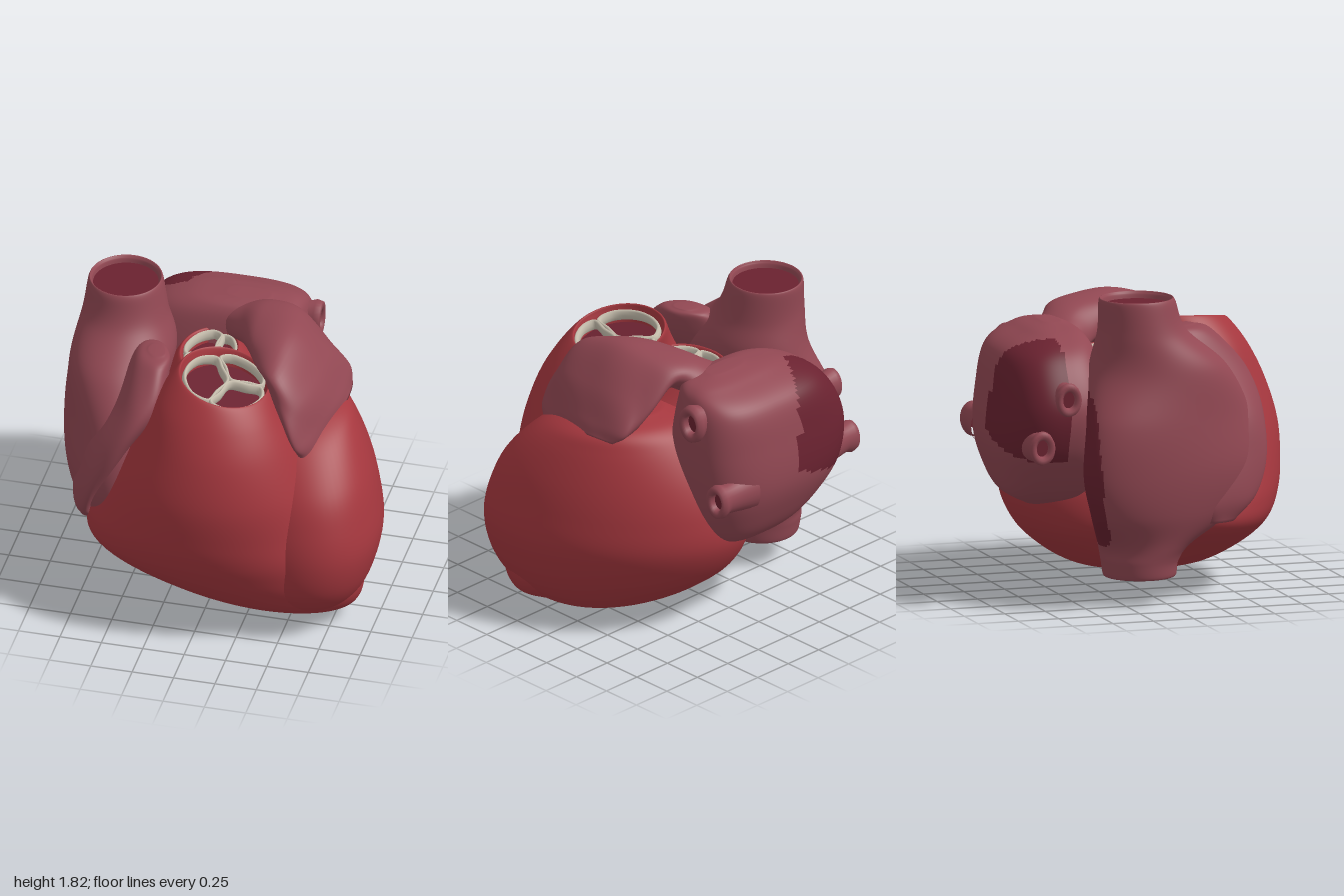
import * as THREE from 'three';

const mat = (name, color, side = THREE.FrontSide) => {
  const m = new THREE.MeshStandardMaterial({ color, side });
  m.name = name;
  return m;
};
const V = (a) => new THREE.Vector3(...a);

// Horizontal section from its extents; k shears it, tx and tz tilt it.
function slab(y, x0, x1, z0, z1, { k = 0, tx = 0, tz = 0, e = 1 } = {}) {
  const rz = (z1 - z0) / 2, half = (x1 - x0) / 2, s = k * rz;
  const rx = Math.sqrt(Math.max(half * half - s * s, 1e-4));
  return { c: [(x0 + x1) / 2, y, (z0 + z1) / 2], u: [rx, tx * rx, 0], v: [s, tz * rz, rz], e };
}

// Smooth skin through elliptical sections, with an optional second-colour patch.
function loft(sections, { around = 72, steps = 8, capStart = true, capEnd = true, wobble = 0, patch = null } = {}) {
  const curve = (key) => new THREE.CatmullRomCurve3(sections.map((s) => V(s[key])), false, 'catmullrom', 0.5);
  const [C, U, W] = ['c', 'u', 'v'].map(curve);
  const e = sections[0].e ?? 1, n = (sections.length - 1) * steps, pos = [], tris = [];
  const pow = (a) => Math.sign(a) * Math.abs(a) ** e;
  for (let i = 0; i <= n; i++) {
    const t = i / n, c = C.getPoint(t), u = U.getPoint(t), v = W.getPoint(t);
    for (let j = 0; j < around; j++) {
      const a = (j / around) * Math.PI * 2;
      const r = 1 + wobble * Math.sin(3 * a + 7 * t) * Math.sin(11 * t + 2 * a);
      const p = c.clone().addScaledVector(u, r * pow(Math.cos(a))).addScaledVector(v, r * pow(Math.sin(a)));
      pos.push(p.x, p.y, p.z);
    }
  }
  for (let i = 0; i < n; i++) for (let j = 0; j < around; j++) {
    const a = i * around + j, b = i * around + ((j + 1) % around);
    tris.push([a, b, a + around], [b, b + around, a + around]);
  }
  const cap = (ring, t, flip) => {
    const m = pos.length / 3;
    pos.push(...C.getPoint(t).toArray());
    for (let j = 0; j < around; j++) {
      const a = ring * around + j, b = ring * around + ((j + 1) % around);
      tris.push(flip ? [m, b, a] : [m, a, b]);
    }
  };
  if (capStart) cap(0, 0, true);
  if (capEnd) cap(n, 1, false);
  const g = new THREE.BufferGeometry();
  g.setAttribute('position', new THREE.Float32BufferAttribute(pos, 3));
  if (patch) {
    const mid = (t, k) => (pos[t[0] * 3 + k] + pos[t[1] * 3 + k] + pos[t[2] * 3 + k]) / 3;
    const inside = tris.map((_, i) => tris[i - (i % 2)]).map((t) => patch(mid(t, 0), mid(t, 1), mid(t, 2)));
    const plain = tris.filter((_, i) => !inside[i]), dark = tris.filter((_, i) => inside[i]);
    g.setIndex([...plain, ...dark].flat());
    g.addGroup(0, plain.length * 3, 0);
    g.addGroup(plain.length * 3, dark.length * 3, 1);
  } else g.setIndex(tris.flat());
  g.computeVertexNormals();
  return g;
}

export function createModel() {
  const model = new THREE.Group();
  const muscle = mat('ventricle red', 0xa5373e);
  const atrial = mat('atrium mauve', 0x924853);
  const dark = mat('inner dark red', 0x6a2230, THREE.DoubleSide);
  const cream = mat('valve cream', 0xc9c1b0);
  const add = (name, geo, material, parent = model) => {
    const m = new THREE.Mesh(geo, material);
    m.name = name;
    parent.add(m);
    return m;
  };

  // Left ventricle: egg with its apex at the bottom
  add('leftVentricle', loft([
    [1.3, 0.2, 0.52, -0.2, 0.08], [1.25, 0, 0.72, -0.36, 0.27], [1.15, -0.08, 0.82, -0.47, 0.45],
    [0.95, -0.14, 0.92, -0.6, 0.63], [0.75, -0.18, 0.975, -0.68, 0.72], [0.55, -0.2, 1.0, -0.7, 0.76],
    [0.35, -0.16, 0.96, -0.6, 0.74], [0.2, -0.04, 0.89, -0.43, 0.65], [0.1, 0.1, 0.8, -0.26, 0.52],
    [0.04, 0.28, 0.71, -0.1, 0.4], [0.005, 0.46, 0.6, 0.04, 0.24],
  ].map((s) => slab(...s, { k: 0.3 }))), muscle);

  // Right ventricle, narrowing to the tilted outflow rim
  const tilt = { tx: -0.2, tz: -0.03 };
  add('rightVentricle', loft([
    slab(1.41, -0.16, 0.31, 0.1, 0.59, tilt), slab(1.52, -0.175, 0.325, 0.08, 0.61, tilt),
    slab(1.54, -0.2, 0.345, 0.06, 0.635, tilt),
    slab(1.4, -0.31, 0.42, 0.07, 0.74, { tx: -0.08 }), slab(1.2, -0.41, 0.52, -0.05, 0.845),
    slab(0.95, -0.54, 0.63, -0.15, 0.915), slab(0.7, -0.67, 0.73, -0.22, 0.915),
    slab(0.55, -0.735, 0.82, -0.22, 0.89), slab(0.43, -0.73, 0.88, -0.18, 0.845),
    slab(0.32, -0.58, 0.91, -0.1, 0.785), slab(0.2, -0.32, 0.91, 0, 0.695),
    slab(0.11, -0.08, 0.86, 0.1, 0.59), slab(0.045, 0.16, 0.74, 0.18, 0.46),
  ], { capStart: false }), muscle);

  // Root of the great artery behind the outflow
  add('aorticRoot', loft([
    [1.33, -0.26, 0.02, -0.28, 0.13], [1.42, -0.275, 0.035, -0.295, 0.145], [1.43, -0.3, 0.06, -0.32, 0.17],
    [1.32, -0.36, 0.16, -0.36, 0.25], [1.1, -0.45, 0.35, -0.44, 0.35], [0.8, -0.5, 0.4, -0.45, 0.4],
  ].map((s) => slab(...s)), { capStart: false }), muscle);

  // Right atrium with both great veins and a dark patch at the back
  add('rightAtrium', loft([
    [1.77, -0.835, -0.455, -0.345, 0.045], [1.81, -0.845, -0.445, -0.355, 0.055],
    [1.805, -0.865, -0.425, -0.375, 0.075], [1.62, -0.89, -0.385, -0.38, 0.15], [1.4, -0.93, -0.32, -0.43, 0.4],
    [1.1, -0.985, -0.36, -0.5, 0.57], [0.8, -0.995, -0.4, -0.53, 0.61], [0.55, -0.955, -0.4, -0.47, 0.5],
    [0.36, -0.885, -0.4, -0.38, 0.18], [0.26, -0.865, -0.41, -0.36, 0.1], [0.175, -0.85, -0.42, -0.345, 0.085],
    [0.17, -0.83, -0.44, -0.325, 0.065], [0.21, -0.82, -0.45, -0.315, 0.055],
  ].map((s) => slab(...s, { k: s[0] > 0.4 && s[0] < 1.2 ? 0.22 : 0 })), {
    capStart: false, capEnd: false, around: 120, steps: 10,
    patch: (x, y, z) => z < -0.2 && ((x + 0.68) / 0.26) ** 2 + ((y - 0.82) / 0.46) ** 2 < 1,
  }), [atrial, dark]);
  [['upperVeinOpening', 1.78, -0.15], ['lowerVeinOpening', 0.2, -0.13]].forEach(([name, y, z]) => {
    const disc = add(name, new THREE.CircleGeometry(0.2, 40).rotateX(-Math.PI / 2), dark);
    disc.position.set(y > 1 ? -0.645 : -0.635, y, z);
  });

  // Flap of the right atrium lying on the ventricle
  add('rightAppendage', loft([
    [1.595, -0.41, -0.31, 0.17, 0.29], [1.55, -0.5, -0.27, 0.08, 0.41], [1.35, -0.6, -0.285, 0.06, 0.59],
    [1.1, -0.75, -0.44, 0.1, 0.66], [0.85, -0.82, -0.59, 0.12, 0.65], [0.62, -0.86, -0.69, 0.12, 0.56],
    [0.48, -0.82, -0.7, 0.22, 0.42],
  ].map((s) => slab(...s, { k: 0.25 })), { wobble: 0.03 }), atrial);

  // Left atrium across the back, with a dark patch
  add('leftAtrium', loft([
    [1.6, -0.1, 0.14, -0.53, -0.42], [1.56, -0.36, 0.3, -0.66, -0.34], [1.45, -0.57, 0.36, -0.84, -0.29],
    [1.2, -0.71, 0.39, -0.905, -0.24], [0.95, -0.68, 0.38, -0.92, -0.24], [0.75, -0.55, 0.34, -0.86, -0.26],
    [0.6, -0.36, 0.26, -0.77, -0.33], [0.52, -0.1, 0.1, -0.63, -0.47],
  ].map((s) => slab(...s, { e: 0.7 })), {
    around: 120, steps: 10,
    patch: (x, y, z) => x < -0.2 - 0.55 * (z + 0.9) && z < -0.56 && y > 0.84 + 0.3 * (x + 0.7),
  }), [atrial, dark]);

  // Left appendage draped over the shoulder: x, y, thickness, z range, skew of the free edge
  const lobe = [
    [-0.08, 1.42, 0.1, -0.52, -0.3, 0], [0.06, 1.48, 0.11, -0.54, -0.14, 0], [0.2, 1.56, 0.115, -0.48, 0.14, 0],
    [0.34, 1.57, 0.13, -0.4, 0.34, 0], [0.49, 1.42, 0.125, -0.36, 0.45, 0.02], [0.59, 1.26, 0.105, -0.32, 0.49, 0.05],
    [0.64, 1.18, 0.07, -0.22, 0.47, 0.06],
  ];
  add('leftAppendage', loft(lobe.map(([x, y, a, z0, z1, skew], i) => {
    const p = lobe[Math.max(i - 1, 0)], q = lobe[Math.min(i + 1, lobe.length - 1)];
    const dx = q[0] - p[0], dy = q[1] - p[1], l = Math.hypot(dx, dy);
    return { c: [x, y, (z0 + z1) / 2], u: [(-dy / l) * a, (dx / l) * a, 0], v: [-skew, -skew, (z1 - z0) / 2], e: 1.08 };
  }), { wobble: 0.05 }), atrial);

  // Four lung veins: side, y, z, size, end x
  const veinProfile = [[0.13, -0.22], [0.105, -0.09], [0.092, 0], [0.108, 0.05], [0.1, 0.085], [0.075, 0.09], [0.055, 0.075], [0.05, 0.02]]
    .map((p) => new THREE.Vector2(...p));
  [[1, 1.4, -0.6, 1, 0.43], [1, 0.96, -0.81, 0.9, 0.42], [-1, 1.25, -0.6, 0.85, -0.765], [-1, 0.97, -0.76, 0.85, -0.755]]
    .forEach(([side, y, z, s, x]) => {
      const vein = new THREE.Group();
      vein.name = 'lungVein';
      add('veinWall', new THREE.LatheGeometry(veinProfile, 28), atrial, vein);
      add('veinOpening', new THREE.CircleGeometry(0.058, 24).rotateX(-Math.PI / 2), dark, vein).position.y = 0.045;
      vein.scale.set(s * 1.1, s, s * 0.85);
      vein.rotation.z = -side * Math.PI / 2;
      vein.position.set(x - side * 0.09 * s, y, z);
      model.add(vein);
    });

  // Three-leaflet valve: each leaflet is a rounded cream loop over a dark floor
  const valve = (name, center, rx, rz, hub, degrees, tx, tz) => {
    const g = new THREE.Group();
    g.name = name;
    add('leafletFloor', new THREE.CircleGeometry(1, 40).rotateX(-Math.PI / 2).scale(rx, 1, rz), dark, g).position.y = -0.05;
    degrees.forEach((d0, i) => {
      const d1 = degrees[(i + 1) % 3] + (i === 2 ? 360 : 0), pts = [[hub[0], hub[1]]];
      for (let k = 0; k <= 6; k++) {
        const a = THREE.MathUtils.degToRad(d0 + ((d1 - d0) * k) / 6);
        const end = [rx * Math.cos(a), rz * Math.sin(a)];
        const half = [(hub[0] + end[0]) / 2, (hub[1] + end[1]) / 2];
        if (k === 0) pts.push(half);
        // corners are pulled in so each leaflet is rounded
        const r = k % 6 === 0 ? 0.9 : 1;
        pts.push([end[0] * r, end[1] * r]);
        if (k === 6) pts.push(half);
      }
      const mx = pts.reduce((s, p) => s + p[0], 0) / pts.length, mz = pts.reduce((s, p) => s + p[1], 0) / pts.length;
      const loop = pts.map(([x, z]) => new THREE.Vector3(mx + (x - mx) * 0.91, 0, mz + (z - mz) * 0.91));
      const path = new THREE.CatmullRomCurve3(loop, true);
      add('leafletEdge', new THREE.TubeGeometry(path, 64, 0.014, 8, true).scale(1, 2.6, 1), cream, g);
    });
    g.position.set(...center);
    g.rotation.set(-Math.atan(tz), 0, Math.atan(tx));
    model.add(g);
  };
  valve('outflowValve', [0.075, 1.495, 0.345], 0.25, 0.265, [0.025, -0.025], [-115, -14, 101], -0.2, -0.03);
  valve('aorticValve', [-0.12, 1.4, -0.075], 0.155, 0.22, [0.025, 0], [-75, 45, 160], 0, 0);

  return model;
}
